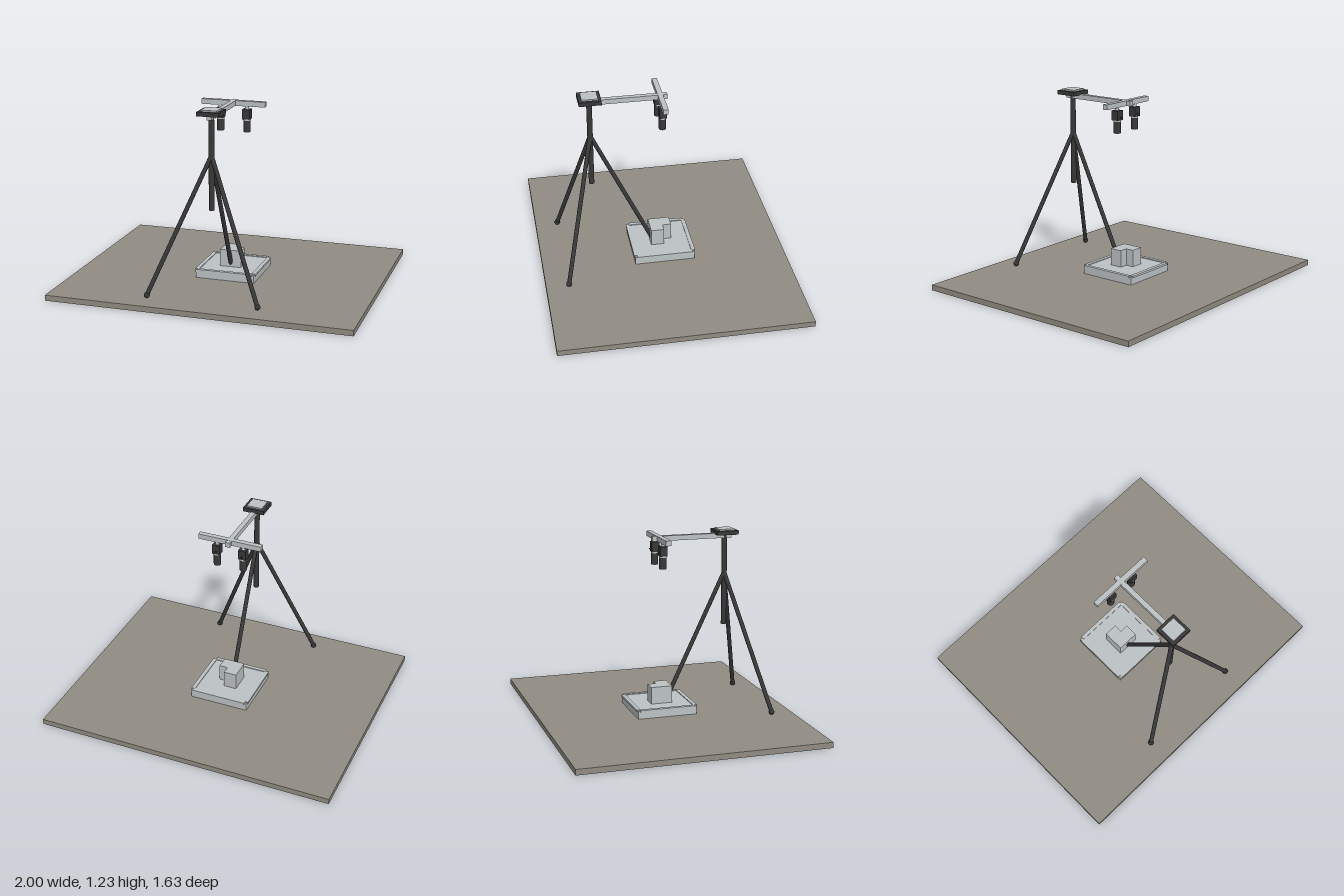
import * as THREE from 'three';

export function createModel() {
  const root = new THREE.Group();
  const mat = (name, color) => {
    const m = new THREE.MeshStandardMaterial({ color });
    m.name = name;
    return m;
  };
  const stone = mat('warm grey board', 0x918c82);
  const light = mat('light grey metal', 0xbcc2c4);
  const dark = mat('dark grey metal', 0x383838);

  const add = (name, geometry, material, x, y, z, parent = root) => {
    const mesh = new THREE.Mesh(geometry, material);
    mesh.name = name;
    mesh.position.set(x, y, z);
    parent.add(mesh);
    return mesh;
  };
  // Box given by its bounds along each axis
  const box = (name, material, [x0, x1], [y0, y1], [z0, z1], parent = root) =>
    add(name, new THREE.BoxGeometry(x1 - x0, y1 - y0, z1 - z0), material,
      (x0 + x1) / 2, (y0 + y1) / 2, (z0 + z1) / 2, parent);
  // Upright cylinder between two heights
  const post = (name, material, r, y0, y1, x, z, parent = root) =>
    add(name, new THREE.CylinderGeometry(r, r, y1 - y0, 24), material, x, (y0 + y1) / 2, z, parent);

  // Ground board
  box('board', stone, [-1, 1], [0, 0.037], [-0.815, 0.815]);

  // Low platform with a clamping strip along each edge
  const platform = new THREE.Group();
  platform.name = 'platform';
  root.add(platform);
  box('platformBase', light, [-0.2, 0.2], [0.037, 0.091], [-0.2, 0.2], platform);
  for (const s of [-1, 1]) {
    add('sideStrip', new THREE.BoxGeometry(0.026, 0.014, 0.37), light, s * 0.194, 0.089, 0, platform);
    add('endStrip', new THREE.BoxGeometry(0.37, 0.014, 0.026), light, 0, 0.089, s * 0.194, platform);
  }

  // L-shaped sample block with one corner cut away
  const outline = [[-0.072, -0.072], [0.072, -0.072], [0.072, 0.015], [0.015, 0.015], [0.015, 0.072], [-0.072, 0.072]];
  const blockGeo = new THREE.ExtrudeGeometry(
    new THREE.Shape(outline.map(([x, y]) => new THREE.Vector2(x, y))), { depth: 0.114, bevelEnabled: false });
  blockGeo.rotateX(-Math.PI / 2);
  add('sampleBlock', blockGeo, light, 0, 0.091, 0);

  // Tripod: centre column and three splayed legs
  const tripod = new THREE.Group();
  tripod.name = 'tripod';
  tripod.position.z = 0.455;
  root.add(tripod);
  post('column', dark, 0.018, 0.587, 1.197, 0, 0, tripod);
  const hub = new THREE.Vector3(0, 0.94, 0);
  for (let i = 0; i < 3; i++) {
    const a = Math.PI / 6 + i * Math.PI * 2 / 3;
    const foot = new THREE.Vector3(0.42 * Math.cos(a), 0.057, 0.42 * Math.sin(a));
    const dir = hub.clone().sub(foot);
    const mid = hub.clone().add(foot).multiplyScalar(0.5);
    const leg = add('leg', new THREE.CylinderGeometry(0.014, 0.014, dir.length(), 20), dark, mid.x, mid.y, mid.z, tripod);
    leg.quaternion.setFromUnitVectors(new THREE.Vector3(0, 1, 0), dir.normalize());
    add('foot', new THREE.SphereGeometry(0.019, 20, 14), dark, foot.x, foot.y, foot.z, tripod);
  }
  add('headPlate', new THREE.BoxGeometry(0.145, 0.027, 0.145), dark, 0, 1.21, 0, tripod);
  add('topPlate', new THREE.BoxGeometry(0.105, 0.01, 0.105), light, 0, 1.228, 0, tripod);

  // Boom arm reaching back from the head, and its crossbar
  box('boomArm', light, [-0.016, 0.016], [1.17, 1.203], [-0.046, 0.5]);
  box('crossbar', light, [-0.215, 0.215], [1.17, 1.204], [-0.017, 0.017]);

  // Two downward-looking sensor heads
  for (const s of [-1, 1]) {
    const head = new THREE.Group();
    head.name = 'sensorHead';
    head.position.x = s * 0.09;
    root.add(head);
    post('mount', light, 0.013, 1.148, 1.172, 0, 0, head);
    box('body', dark, [-0.026, 0.026], [1.086, 1.15], [-0.025, 0.025], head);
    post('ring', light, 0.0245, 1.077, 1.086, 0, 0, head);
    post('lensBarrel', dark, 0.024, 1.002, 1.077, 0, 0, head);
    post('lensRim', light, 0.0225, 1.0, 1.002, 0, 0, head);
    const knob = add('knob', new THREE.CylinderGeometry(0.006, 0.006, 0.012, 16), dark, 0, 1.105, -0.029, head);
    knob.rotation.x = Math.PI / 2;
  }
  return root;
}
